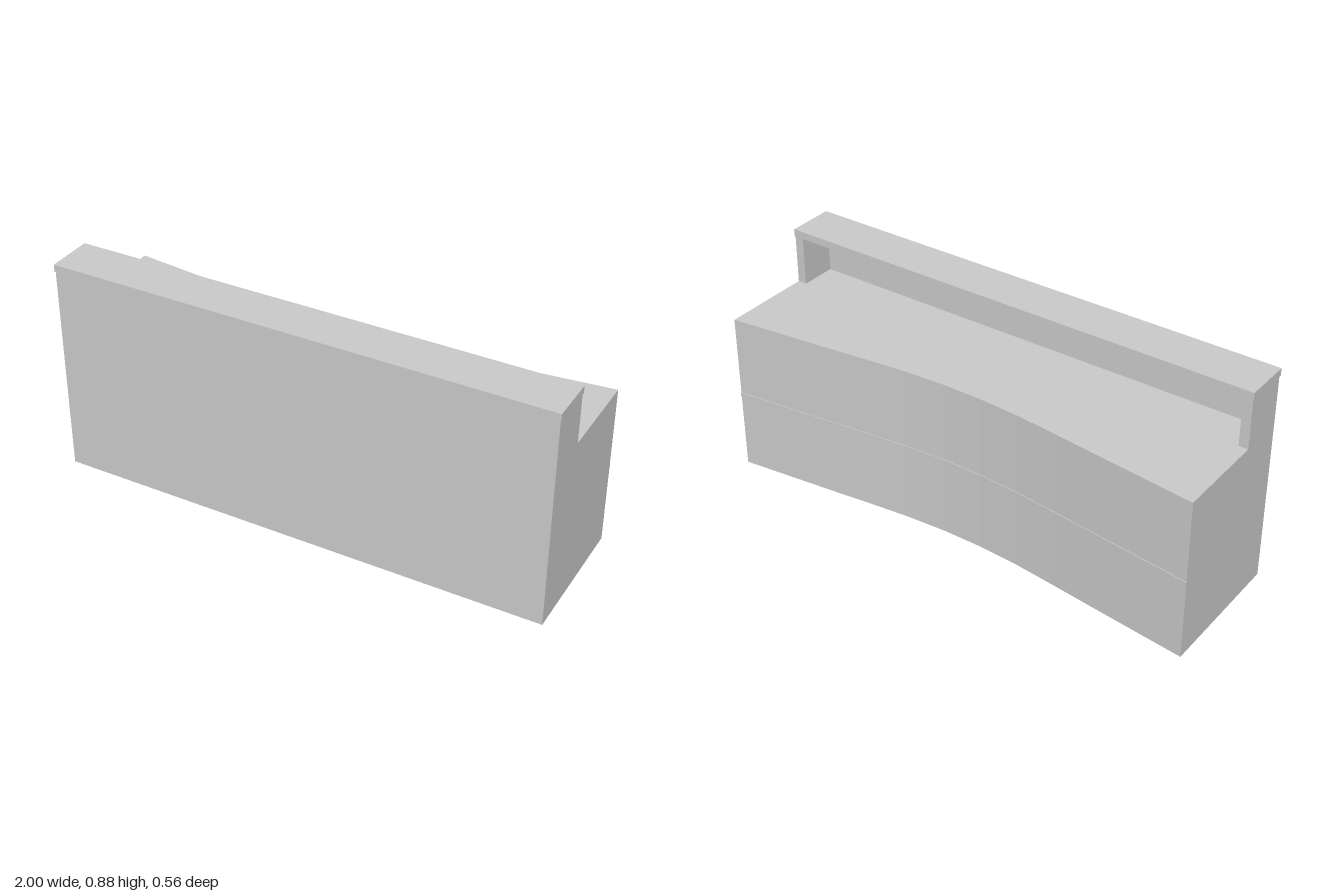
import * as THREE from 'three';

const material = new THREE.MeshStandardMaterial({ color: 0xcccccc, flatShading: true });
const HALF = 0.997, FRONT = 0.278, LEDGE = 0.093;
const DESK_TOP = 0.657, CAP_BOTTOM = 0.855, TOP = 0.885, WALL = 0.037;

// Half of the curved rear edge, as [x, depth behind the centre]
const half = [[0.083, 0.181], [0.25, 0.191], [0.415, 0.209], [0.58, 0.229], [HALF, 0.277]];
const rear = [...half.map(([x, d]) => [-x, d]).reverse(), ...half];

function add(group, name, geometry) {
  const mesh = new THREE.Mesh(geometry, material);
  mesh.name = name;
  group.add(mesh);
}

// Box given by its limits on each axis
function box(x0, x1, y0, y1, z0, z1) {
  return new THREE.BoxGeometry(x1 - x0, y1 - y0, z1 - z0)
    .translate((x0 + x1) / 2, (y0 + y1) / 2, (z0 + z1) / 2);
}

// Plan outline with the curved rear edge, raised from y0 to y1
function curvedSlab(front, offset, y0, y1) {
  const shape = new THREE.Shape([
    new THREE.Vector2(-HALF, -front),
    new THREE.Vector2(HALF, -front),
    ...[...rear].reverse().map(([x, d]) => new THREE.Vector2(x, d + offset)),
  ]);
  return new THREE.ExtrudeGeometry(shape, { depth: y1 - y0, bevelEnabled: false })
    .rotateX(-Math.PI / 2).translate(0, y0, 0);
}

export function createModel() {
  const model = new THREE.Group();
  model.name = 'receptionCounter';

  // Main body and the thin strip along its curved back
  add(model, 'body', curvedSlab(FRONT, 0, 0, DESK_TOP));
  add(model, 'trimStrip', curvedSlab(0.1, 0.003, 0.314, 0.33));

  // Raised shelf, open towards the back
  const shelf = new THREE.Group();
  shelf.name = 'raisedShelf';
  add(shelf, 'frontPanel', box(-HALF, HALF, DESK_TOP, CAP_BOTTOM, FRONT - WALL, FRONT));
  add(shelf, 'leftEndPanel', box(HALF - WALL, HALF, DESK_TOP, CAP_BOTTOM, LEDGE, FRONT - WALL));
  add(shelf, 'rightEndPanel', box(-HALF, -HALF + WALL, DESK_TOP, CAP_BOTTOM, LEDGE, FRONT - WALL));
  add(shelf, 'shelfTop', box(-1, 1, CAP_BOTTOM, TOP, LEDGE - 0.002, FRONT + 0.003));
  model.add(shelf);

  return model;
}
